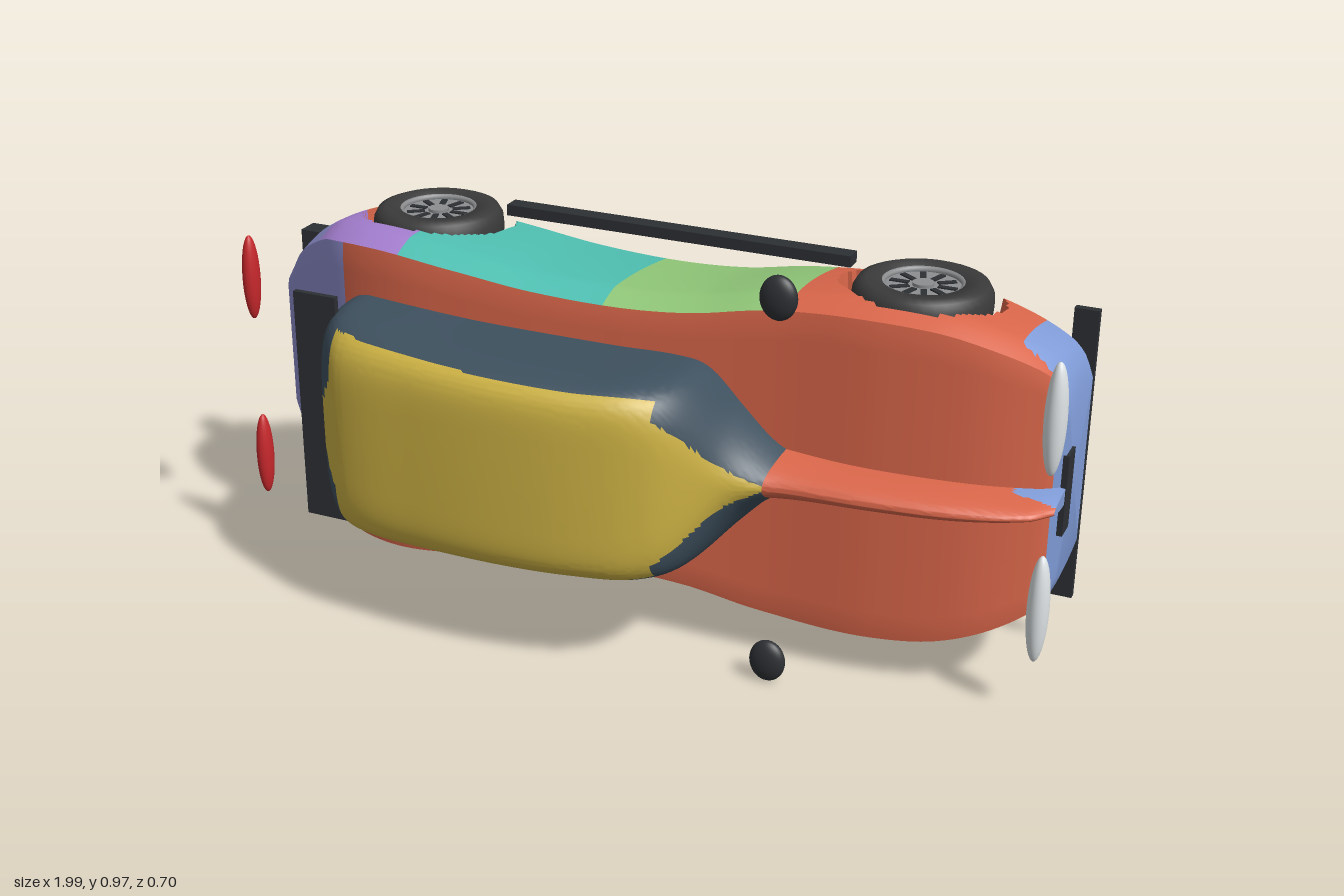
import * as THREE from 'three';
import { toCreasedNormals } from 'three/addons/utils/BufferGeometryUtils.js';

// The car lies with its nose to +x and its roof to +z; MID is its centre line in y.
const MID = 0.483, FLOOR = -0.29;
const WHEELS_X = [-0.58, 0.615], WHEEL_Z = -0.2;
const PAINT = {
  orange: 0xd9664a, teal: 0x4fc0b2, green: 0x92c97a, purple: 0xa57fd0, lavender: 0x9090d0,
  blue: 0x809cd8, slate: 0x3e505e, yellow: 0xcdb244, dark: 0x2d3034, tyre: 0x3a3a3a,
  rim: 0x8c8e90, red: 0xc8282c, lamp: 0xdde2e4,
};
const mats = {};
const mat = (c) => (mats[c] ??= new THREE.MeshStandardMaterial({ color: PAINT[c] }));

// Smooth interpolation through [x, value] pairs
function curve(pts) {
  const slope = (i) => {
    const a = pts[Math.max(i - 1, 0)], b = pts[Math.min(i + 1, pts.length - 1)];
    return (b[1] - a[1]) / (b[0] - a[0]);
  };
  return (x) => {
    if (x <= pts[0][0]) return pts[0][1];
    for (let i = 0; i < pts.length - 1; i++) {
      const [x0, y0] = pts[i], [x1, y1] = pts[i + 1];
      if (x > x1) continue;
      const h = x1 - x0, t = (x - x0) / h, t2 = t * t, t3 = t2 * t;
      return y0 * (2 * t3 - 3 * t2 + 1) + y1 * (3 * t2 - 2 * t3)
        + h * (slope(i) * (t3 - 2 * t2 + t) + slope(i + 1) * (t3 - t2));
    }
    return pts[pts.length - 1][1];
  };
}

const halfWidth = curve([[-0.98, 0.18], [-0.95, 0.22], [-0.9, 0.285], [-0.82, 0.345], [-0.74, 0.385],
  [-0.58, 0.4], [-0.39, 0.38], [-0.2, 0.355], [0, 0.345], [0.17, 0.355], [0.33, 0.385], [0.515, 0.4],
  [0.7, 0.392], [0.81, 0.365], [0.915, 0.315], [0.96, 0.27], [0.985, 0.2]]);
const deck = curve([[-0.98, -0.14], [-0.85, -0.045], [-0.72, 0.045], [-0.58, 0.083], [-0.4, 0.088],
  [0, 0.062], [0.37, 0.035], [0.6, 0.03], [0.8, 0], [0.93, -0.055], [0.985, -0.1]]);
const cabinWidth = curve([[-0.77, 0.04], [-0.72, 0.18], [-0.66, 0.245], [-0.6, 0.262], [-0.3, 0.247],
  [0, 0.237], [0.15, 0.235], [0.22, 0.218], [0.3, 0.14], [0.38, 0.065], [0.46, 0.03]]);
const cabinTop = curve([[-0.77, 0.06], [-0.72, 0.13], [-0.64, 0.25], [-0.56, 0.31], [-0.37, 0.338],
  [-0.16, 0.347], [0.03, 0.33], [0.18, 0.283], [0.3, 0.19], [0.38, 0.15], [0.46, 0.1]]);
const cabinPower = curve([[-0.77, 2.5], [-0.6, 5], [-0.3, 7], [0.1, 7], [0.3, 2.3], [0.46, 2]]);
const spineWidth = curve([[0.32, 0.06], [0.5, 0.045], [0.8, 0.035], [0.985, 0.02]]);
const spineTop = curve([[0.32, 0.165], [0.43, 0.137], [0.62, 0.125], [0.8, 0.1], [0.94, 0.05], [0.985, 0]]);

// Half sections, from the underside round to the top centre, as [side, height]
function bodySection(x) {
  const w = halfWidth(x), d = deck(x), low = 0.92 * w;
  const pts = [];
  for (let i = 0; i < 12; i++) pts.push([low * i / 12, FLOOR]);
  for (let i = 0; i <= 24; i++) {
    const t = i / 24;
    pts.push([low + (w - low) * Math.sin(t * Math.PI / 2), FLOOR + (d - 0.075 - FLOOR) * t]);
  }
  for (let i = 1; i <= 5; i++) pts.push([w * (1 - 0.06 * (i / 5) ** 1.4), d - 0.075 + 0.07 * i / 5]);
  for (let i = 1; i <= 12; i++) pts.push([0.93 * w * (1 - i / 12), d]);
  // Wheel wells are pressed into the sides
  for (const p of pts) for (const cx of WHEELS_X)
    if (Math.hypot(x - cx, p[1] - WHEEL_Z) < 0.178) p[0] = Math.min(p[0], 0.28);
  return pts;
}
function domeSection(w, top, base, power) {
  const pts = [];
  for (let i = 0; i <= 28; i++) {
    const a = i / 28 * Math.PI / 2;
    pts.push([w * Math.max(Math.cos(a), 0) ** (2 / power), base + (top - base) * Math.sin(a) ** (2 / power)]);
  }
  pts[28][0] = 0;
  return pts;
}

// Skin mirrored half sections along x, then split the faces into painted panels
function loft(name, x0, x1, section, paint) {
  const rings = [], n = Math.round((x1 - x0) / 0.01);
  for (let i = 0; i <= n; i++) {
    const x = x0 + (x1 - x0) * i / n, half = section(x);
    const other = half.slice(0, -1).reverse().map(([l, z]) => [-l, z]);
    rings.push([...half, ...other].map(([l, z]) => [x, MID + l, z]));
  }
  const cap = (r) => {
    const zs = r.map((p) => p[2]), z = (Math.min(...zs) + Math.max(...zs)) / 2;
    return r.map((p) => [p[0], MID, z]);
  };
  rings.unshift(cap(rings[0]));
  rings.push(cap(rings[rings.length - 1]));
  const m = rings[0].length, index = [];
  for (let i = 0; i < rings.length - 1; i++) for (let j = 0; j < m; j++) {
    const k = (j + 1) % m, a = i * m + j, b = a + m, c = i * m + m + k, d = i * m + k;
    index.push(a, d, c, a, c, b);
  }
  const raw = new THREE.BufferGeometry();
  raw.setAttribute('position', new THREE.Float32BufferAttribute(rings.flat(2), 3));
  raw.setIndex(index);
  const geo = toCreasedNormals(raw, 0.6);
  const pos = geo.attributes.position.array, nor = geo.attributes.normal.array, panels = {};
  const tri = new THREE.Triangle(), c = new THREE.Vector3(), nrm = new THREE.Vector3();
  for (let o = 0; o < pos.length; o += 9) {
    tri.a.fromArray(pos, o); tri.b.fromArray(pos, o + 3); tri.c.fromArray(pos, o + 6);
    if (tri.getArea() < 1e-9) continue;
    tri.getMidpoint(c); tri.getNormal(nrm);
    const p = (panels[paint(c.x, Math.abs(c.y - MID), c.z, nrm)] ??= { pos: [], nor: [] });
    for (let k = o; k < o + 9; k++) { p.pos.push(pos[k]); p.nor.push(nor[k]); }
  }
  const group = new THREE.Group();
  group.name = name;
  for (const [color, p] of Object.entries(panels)) {
    const g = new THREE.BufferGeometry();
    g.setAttribute('position', new THREE.Float32BufferAttribute(p.pos, 3));
    g.setAttribute('normal', new THREE.Float32BufferAttribute(p.nor, 3));
    const mesh = new THREE.Mesh(g, mat(color));
    mesh.name = name + ' ' + color + ' panel';
    group.add(mesh);
  }
  return group;
}

function bodyPaint(x, l, z, n) {
  if (x > 0.87) return z < -0.08 && (n.z > -0.7 || x > 0.91) ? 'blue' : 'orange';
  if (n.z < -0.7) return x < -0.9 ? 'lavender' : 'orange';
  if (WHEELS_X.some((cx) => Math.hypot(x - cx, z - WHEEL_Z) < 0.18)) return 'orange';
  if (x < -0.79 || (x < -0.69 && n.z > 0.75)) return 'lavender';
  if (n.z > 0.75 || x > 0.39) return 'orange';
  return x < -0.53 ? 'purple' : x < -0.03 ? 'teal' : 'green';
}
function cabinPaint(x, l, z, n) {
  const reach = x > 0.18 ? (z - 0.14) * 1.3 : x < -0.6 ? (x + 0.69) * 1.5 : 1;
  return n.z > 0.5 && l < reach ? 'yellow' : 'slate';
}

export function createModel() {
  const model = new THREE.Group();
  const add = (name, geo, color, x, y, z, parent = model) => {
    const mesh = new THREE.Mesh(geo, mat(color));
    mesh.name = name;
    mesh.position.set(x, y, z);
    parent.add(mesh);
    return mesh;
  };
  const box = (name, sx, sy, sz, x, y, z) => add(name, new THREE.BoxGeometry(sx, sy, sz), 'dark', x, y, z);

  // Shell
  model.add(loft('body', -0.98, 0.98, bodySection, bodyPaint));
  model.add(loft('cabin', -0.77, 0.46,
    (x) => domeSection(cabinWidth(x), cabinTop(x), deck(x) - 0.05, cabinPower(x)), cabinPaint));
  model.add(loft('hood spine', 0.32, 0.985,
    (x) => domeSection(spineWidth(x), spineTop(x), deck(x) - 0.04, 2),
    (x, l, z) => (x > 0.89 && z < -0.01 ? 'blue' : 'orange')));

  // Bumpers, plate and rear wing
  box('rear bumper', 0.06, 0.53, 0.055, -0.965, MID, -0.263);
  box('front bumper', 0.055, 0.7, 0.018, 0.953, MID, -0.302);
  box('front plate', 0.02, 0.19, 0.055, 0.977, MID, -0.118);
  box('rear wing', 0.11, 0.565, 0.014, -0.7, MID, 0.167);

  // Paired parts
  const ball = new THREE.SphereGeometry(1, 28, 18);
  const tyre = new THREE.LatheGeometry([[0.09, -0.046], [0.125, -0.05], [0.143, -0.043], [0.153, -0.025],
    [0.155, 0], [0.153, 0.025], [0.143, 0.043], [0.125, 0.05], [0.09, 0.046], [0.088, 0.03], [0.088, -0.03],
    [0.09, -0.046]].map(([r, h]) => new THREE.Vector2(r, h)), 40);
  const disc = new THREE.CylinderGeometry(0.092, 0.092, 0.07, 36);
  const ring = new THREE.TorusGeometry(0.09, 0.008, 8, 36).rotateX(Math.PI / 2);
  const cap = new THREE.CylinderGeometry(0.024, 0.024, 0.084, 20);
  const slot = new THREE.BoxGeometry(0.042, 0.006, 0.014);
  for (const s of [1, -1]) {
    const pod = (name, color, x, l, z, rx, ry, rz) =>
      add(name, ball, color, x, MID + s * l, z).scale.set(rx, ry, rz);
    pod('headlight', 'lamp', 0.973, 0.222, 0.015, 0.024, 0.128, 0.029);
    pod('tail light', 'red', -0.97, 0.232, 0.026, 0.02, 0.105, 0.024);
    pod('mirror', 'dark', 0.402, 0.433, 0.12, 0.042, 0.05, 0.023);
    box('side skirt', 0.85, 0.026, 0.042, 0.015, MID + s * 0.402, -0.246);
    for (const x of WHEELS_X) {
      const wheel = new THREE.Group();
      wheel.name = x > 0 ? 'front wheel' : 'rear wheel';
      wheel.position.set(x, MID + s * 0.35, WHEEL_Z);
      add('tyre', tyre, 'tyre', 0, 0, 0, wheel);
      add('rim disc', disc, 'rim', 0, 0, 0, wheel);
      add('rim edge', ring, 'rim', 0, s * 0.038, 0, wheel);
      add('hub cap', cap, 'rim', 0, 0, 0, wheel);
      for (let i = 0; i < 10; i++) {
        const a = i / 10 * Math.PI * 2;
        add('rim slot', slot, 'dark', 0.054 * Math.cos(a), s * 0.035, -0.054 * Math.sin(a), wheel).rotation.y = a;
      }
      model.add(wheel);
    }
  }
  return model;
}
